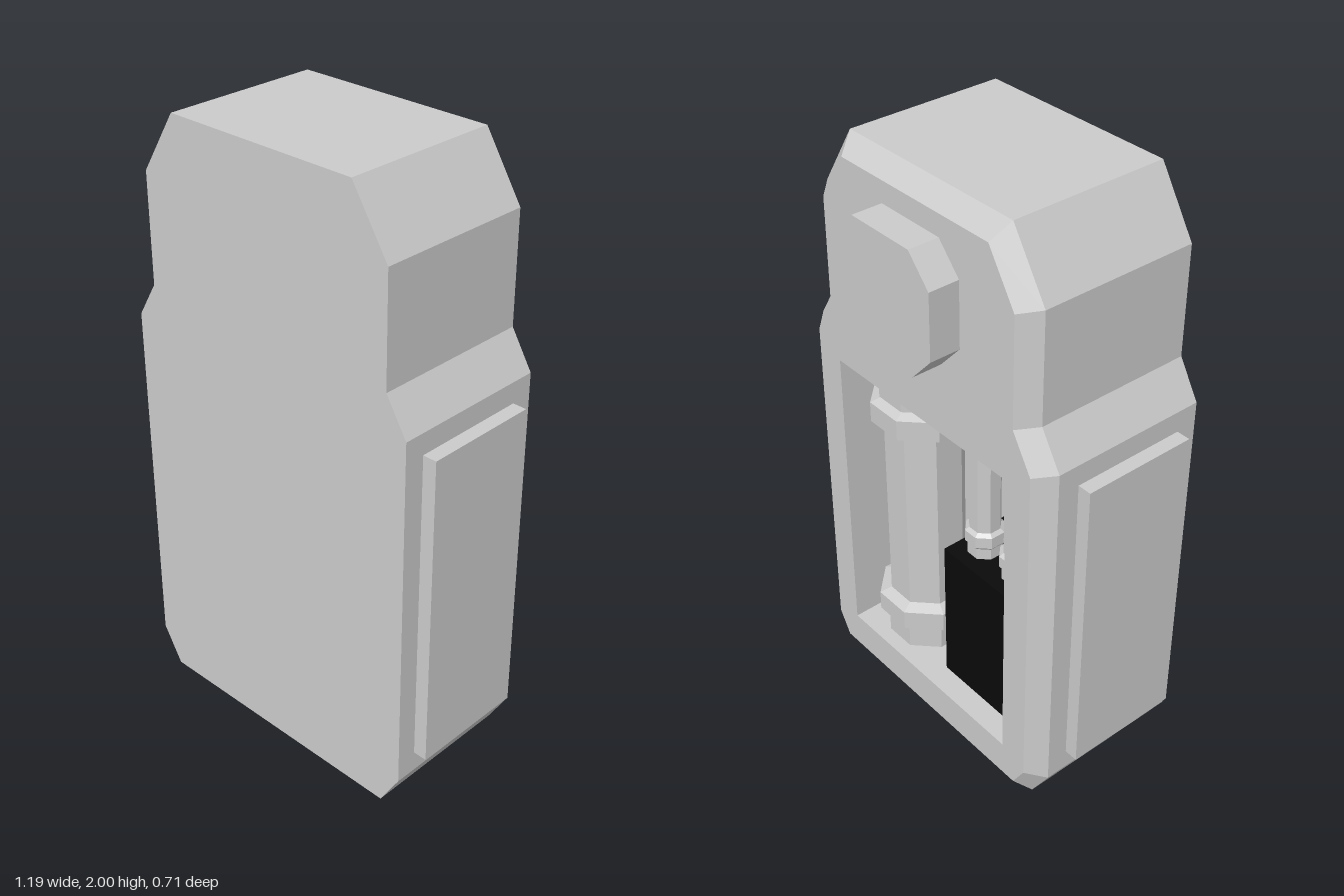
import * as THREE from 'three';

const grey = new THREE.MeshStandardMaterial({ color: 0xcccccc, flatShading: true });
const black = new THREE.MeshStandardMaterial({ color: 0x0a0a0a, flatShading: true });

const FRONT = 0.33, BEVEL = -0.195, BACK = -0.25, RECESS = 0.12;
const FLOOR = 0.18, CEILING = 1.24;

function add(parent, name, geometry, x = 0, y = 0, z = 0, material = grey) {
  const mesh = new THREE.Mesh(geometry, material);
  mesh.name = name;
  mesh.position.set(x, y, z);
  parent.add(mesh);
  return mesh;
}

// Mirror a right-hand profile (bottom to top) into a closed loop
function mirrored(half) {
  const left = half.map(([x, y]) => new THREE.Vector2(-x, y)).reverse();
  return [...half.map(([x, y]) => new THREE.Vector2(x, y)), ...left];
}

// Mitred inward offset of a counter-clockwise loop
function inset(loop, d) {
  const n = loop.length;
  const normal = (a, b) => new THREE.Vector2(b.y - a.y, a.x - b.x).normalize();
  return loop.map((p, i) => {
    const n1 = normal(loop[(i + n - 1) % n], p);
    const n2 = normal(p, loop[(i + 1) % n]);
    return p.clone().addScaledVector(n1.clone().add(n2), -d / (1 + n1.dot(n2)));
  });
}

// Wall of quads joining loop a at za to loop b at zb
function wall(a, za, b, zb) {
  const pos = [];
  a.forEach((p, i) => {
    const j = (i + 1) % a.length, q = a[j], r = b[j], s = b[i];
    pos.push(p.x, p.y, za, q.x, q.y, za, r.x, r.y, zb);
    pos.push(p.x, p.y, za, r.x, r.y, zb, s.x, s.y, zb);
  });
  const g = new THREE.BufferGeometry();
  g.setAttribute('position', new THREE.Float32BufferAttribute(pos, 3));
  g.computeVertexNormals();
  return g;
}

// Faceted upright cell from radius / height pairs
function cell(parent, name, x, z, profile) {
  const points = profile.map(([r, y]) => new THREE.Vector2(r, y));
  const mesh = add(parent, name, new THREE.LatheGeometry(points, 8), x, 0, z);
  mesh.rotation.y = Math.PI / 8;
}

export function createModel() {
  const model = new THREE.Group();
  const device = new THREE.Group();
  device.name = 'device';
  device.rotation.y = 0.046;
  device.position.x = -0.005;
  model.add(device);

  // Housing: stepped outline, chamfered around the back
  const housing = new THREE.Group();
  housing.name = 'housing';
  device.add(housing);
  const outline = mirrored([[0.47, 0], [0.541, 0.12], [0.541, 1.32], [0.468, 1.44], [0.468, 1.8], [0.341, 2]]);
  const backLoop = inset(outline, 0.055);
  const opening = mirrored([[0.385, FLOOR], [0.385, CEILING]]);
  const clockwise = [...opening].reverse();

  add(housing, 'frontFace', new THREE.ShapeGeometry(new THREE.Shape(outline)), 0, 0, FRONT);
  add(housing, 'sideWalls', wall(outline, BEVEL, outline, FRONT));
  add(housing, 'backChamfer', wall(backLoop, BACK, outline, BEVEL));
  const backShape = new THREE.Shape(backLoop);
  backShape.holes.push(new THREE.Path(opening));
  add(housing, 'backFace', new THREE.ShapeGeometry(backShape), 0, 0, BACK).rotation.y = Math.PI;

  // Open compartment in the back
  add(housing, 'compartmentWalls', wall(clockwise, BACK, clockwise, RECESS));
  add(housing, 'compartmentEnd', new THREE.ShapeGeometry(new THREE.Shape(opening)), 0, 0, RECESS).rotation.y = Math.PI;

  // Raised side panels
  for (const side of [-1, 1]) {
    add(device, side > 0 ? 'leftPanel' : 'rightPanel',
      new THREE.BoxGeometry(0.06, 1.06, 0.383), side * 0.557, 0.72, 0.069);
  }

  // Chamfered block above the compartment
  const block = mirrored([[0.122, 1.48], [0.204, 1.57], [0.204, 1.785], [0.122, 1.875]]);
  add(device, 'backBlock',
    new THREE.ExtrudeGeometry(new THREE.Shape(block), { depth: 0.11, bevelEnabled: false }), 0.01, 0, -0.351);

  // Large cell with two collars
  const collar = (y) => [[0.13, y], [0.17, y + 0.015], [0.17, y + 0.085], [0.13, y + 0.1]];
  cell(device, 'largeCell', 0.206, -0.07, [
    [0.14, FLOOR], [0.14, 0.27], ...collar(0.27), ...collar(1.05), [0.14, 1.15], [0.14, CEILING],
  ]);

  // Dark box carrying two small cells
  add(device, 'darkBox', new THREE.BoxGeometry(0.36, 0.52, 0.26), -0.188, 0.44, -0.04, black);
  for (const x of [-0.088, -0.25]) {
    cell(device, 'smallCell', x, -0.07, [
      [0.058, 0.7], [0.058, 0.74], [0.066, 0.75], [0.066, 0.79], [0.052, 0.8],
      [0.052, 1.1], [0.066, 1.11], [0.066, 1.15], [0.058, 1.16], [0.058, CEILING],
    ]);
  }
  return model;
}
